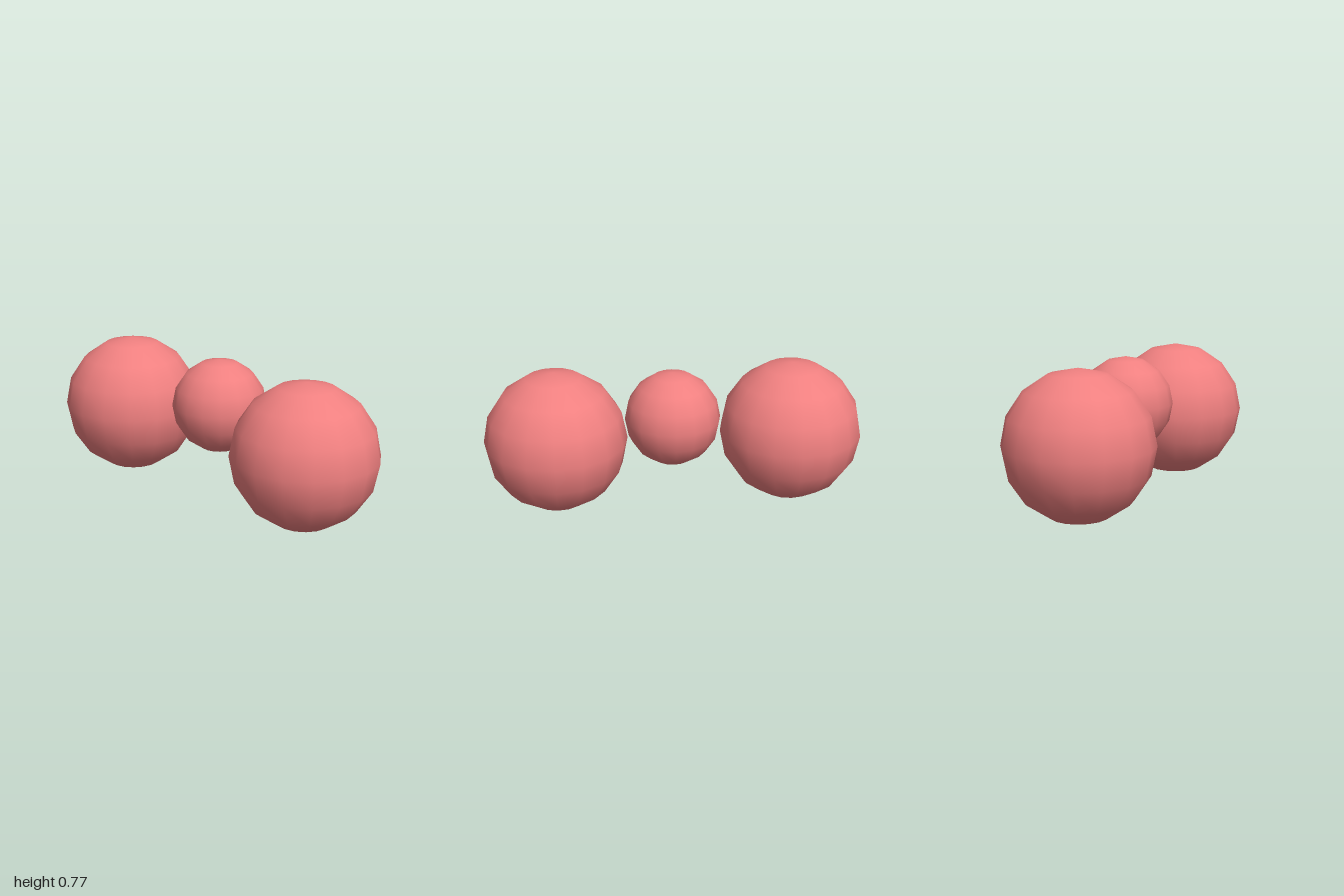
import * as THREE from 'three';

export function createModel() {
  const model = new THREE.Group();
  const material = new THREE.MeshStandardMaterial({ color: 0xf08080 });

  // Smooth-shaded ball with a coarse 16 x 8 outline
  function addBall(name, radius, x, y, z) {
    const ball = new THREE.Mesh(new THREE.SphereGeometry(radius, 16, 8), material);
    ball.name = name;
    ball.position.set(x, y, z);
    model.add(ball);
  }

  // Two large balls with a smaller one between them
  addBall('rightBall', 0.377, -0.623, 0.395, 0);
  addBall('leftBall', 0.377, 0.623, 0.377, 0);
  addBall('middleBall', 0.25, 0.01, 0.5, -0.04);

  return model;
}
